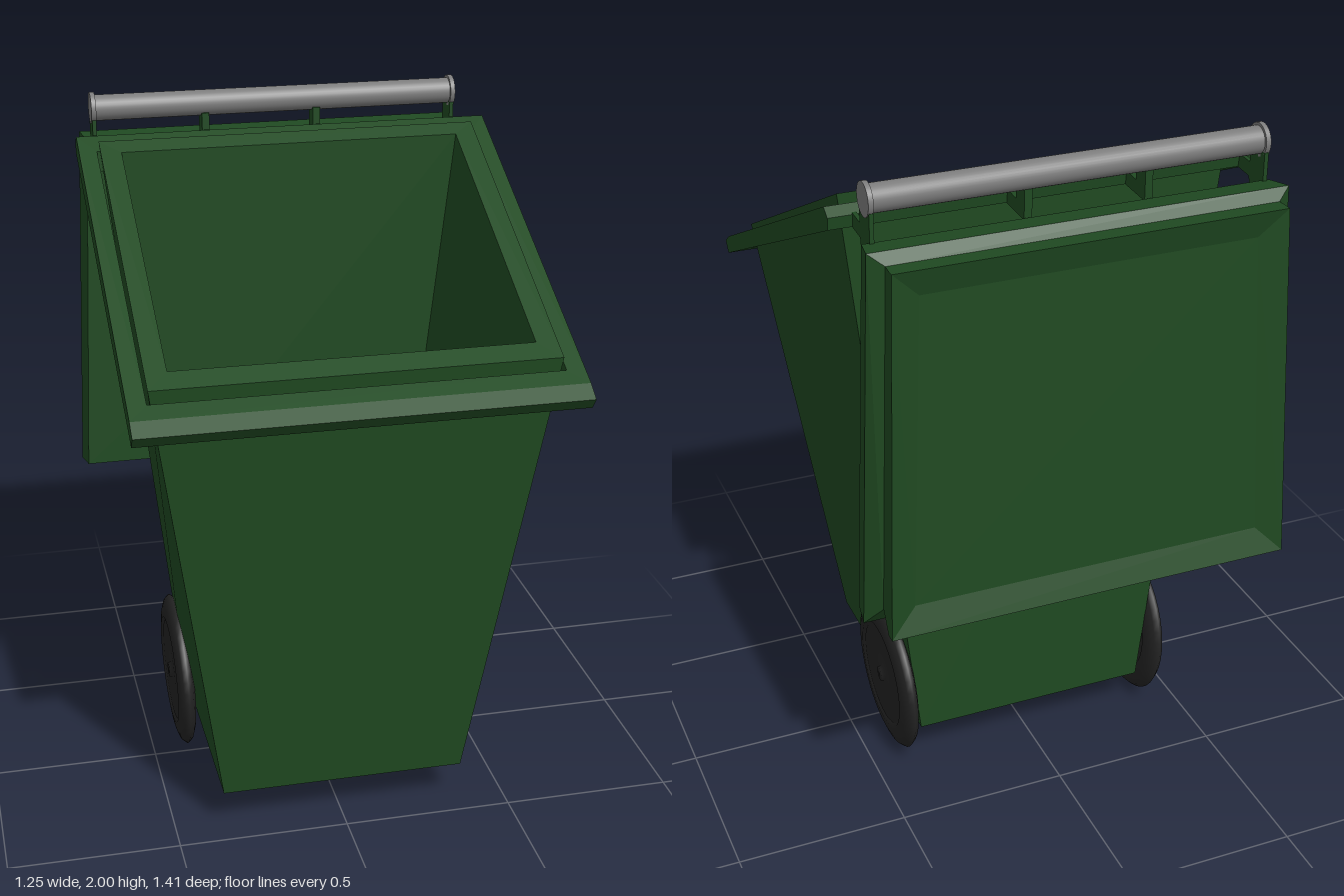
import * as THREE from 'three';

// Flat-shaded skin through four-cornered rings, with optional end caps
function loft(rings, capStart = false, capEnd = false) {
  const pos = [];
  const quad = (a, b, c, d) => pos.push(...a, ...b, ...c, ...a, ...c, ...d);
  for (let r = 0; r < rings.length - 1; r++) {
    const lo = rings[r], hi = rings[r + 1];
    for (let i = 0; i < 4; i++) {
      const j = (i + 1) % 4;
      quad(lo[i], lo[j], hi[j], hi[i]);
    }
  }
  if (capStart) quad(...[...rings[0]].reverse());
  if (capEnd) quad(...rings[rings.length - 1]);
  const geo = new THREE.BufferGeometry();
  geo.setAttribute('position', new THREE.Float32BufferAttribute(pos, 3));
  geo.computeVertexNormals();
  return geo;
}

// Level or sloping ring: half width, then z and y of its front and back edges
const ring = (w, zf, yf, zb, yb) => [[-w, yf, zf], [w, yf, zf], [w, yb, zb], [-w, yb, zb]];

// Upright ring: half width, y and z of its bottom and top edges
const upright = (wb, yb, zb, wt, yt, zt) => [[wb, yb, zb], [-wb, yb, zb], [-wt, yt, zt], [wt, yt, zt]];

// Plate cut from a [z, y] outline, centred on x
function plate(points, thickness, x) {
  const shape = new THREE.Shape(points.map(([z, y]) => new THREE.Vector2(-z, y)));
  const geo = new THREE.ExtrudeGeometry(shape, { depth: thickness, bevelEnabled: false });
  geo.translate(0, 0, -thickness / 2);
  geo.rotateY(Math.PI / 2);
  geo.translate(x, 0, 0);
  return geo;
}

export function createModel() {
  const model = new THREE.Group();
  model.name = 'wheeledBin';
  const mat = (name, color) => {
    const m = new THREE.MeshStandardMaterial({ color });
    m.name = name;
    return m;
  };
  const green = mat('green plastic', 0x1f4921);
  const grey = mat('grey handle', 0x7c7c7c);
  const black = mat('black rubber', 0x232323);
  const add = (name, geo, material, parent = model) => {
    const mesh = new THREE.Mesh(geo, material);
    mesh.name = name;
    parent.add(mesh);
    return mesh;
  };

  // Tapered container, hollow inside, with a floor that slopes like the mouth
  const opening = ring(0.5, 0.54, 1.497, -0.245, 1.876);
  add('body', loft([
    ring(0.36, 0.45, 0.13, -0.272, 0.13),
    ring(0.56, 0.6, 1.47, -0.29, 1.9),
    opening,
  ], true), green);
  add('interior', loft([opening, ring(0.38, 0.44, 0.46, -0.245, 0.79)], false, true), green);

  // Sloping rim frame, fitted loosely around the mouth
  const rimInside = ring(0.565, 0.61, 1.388, -0.297, 1.808);
  add('rim', loft([
    rimInside,
    ring(0.617, 0.68, 1.352, -0.385, 1.845),
    ring(0.617, 0.705, 1.385, -0.39, 1.88),
    ring(0.617, 0.66, 1.415, -0.36, 1.9),
    ring(0.565, 0.61, 1.437, -0.297, 1.869),
    rimInside,
  ]), green);

  // Lid hanging open behind the container, its inner face slightly dished
  add('lid', loft([
    upright(0.615, 0.795, -0.51, 0.57, 1.85, -0.51),
    upright(0.627, 0.787, -0.585, 0.585, 1.86, -0.59),
    upright(0.585, 0.85, -0.632, 0.545, 1.83, -0.615),
    upright(0.587, 0.793, -0.675, 0.547, 1.83, -0.645),
    upright(0.587, 0.793, -0.702, 0.547, 1.83, -0.666),
    upright(0.51, 0.87, -0.675, 0.47, 1.753, -0.645),
  ], true, true), green);

  // Brackets: long tapered end plates, short ribs between
  const endOutline = [[-0.37, 1.885], [-0.445, 1.88], [-0.445, 1.93], [-0.52, 1.93],
    [-0.52, 1.57], [-0.49, 1.57], [-0.445, 1.84], [-0.37, 1.845]];
  const ribOutline = [[-0.37, 1.885], [-0.445, 1.88], [-0.445, 1.93], [-0.5, 1.93],
    [-0.5, 1.84], [-0.37, 1.845]];
  for (const x of [-0.553, 0.545]) add('handleBracket', plate(endOutline, 0.012, x), green);
  for (const x of [-0.22, 0.12]) add('handleRib', plate(ribOutline, 0.022, x), green);

  // Handle bar with slightly wider ends
  const handle = new THREE.Group();
  handle.name = 'handle';
  handle.position.set(-0.004, 1.955, -0.48);
  handle.rotation.z = Math.PI / 2;
  model.add(handle);
  add('handleBar', new THREE.CylinderGeometry(0.038, 0.038, 1.1, 32), grey, handle);
  for (const s of [-1, 1]) {
    add('handleEnd', new THREE.CylinderGeometry(0.046, 0.046, 0.014, 32), grey, handle).position.y = s * 0.55;
  }

  // Wheels: tapered tyre, stepped disc and small hub, leaning slightly outwards
  const half = [[0, 0.03], [0.022, 0.03], [0.025, 0.02], [0.08, 0.022], [0.155, 0.022],
    [0.16, 0.019], [0.168, 0.027], [0.2, 0.023], [0.225, 0.014], [0.237, 0]];
  const profile = [...half.map(([r, y]) => [r, -y]), ...half.slice(0, -1).reverse()]
    .map(([r, y]) => new THREE.Vector2(r, y));
  for (const s of [-1, 1]) {
    const wheel = add(s > 0 ? 'leftWheel' : 'rightWheel', new THREE.LatheGeometry(profile, 40), black);
    wheel.rotation.z = -s * (Math.PI / 2 + 0.03);
    wheel.position.set(s * 0.404, 0.24, -0.11);
  }
  return model;
}
